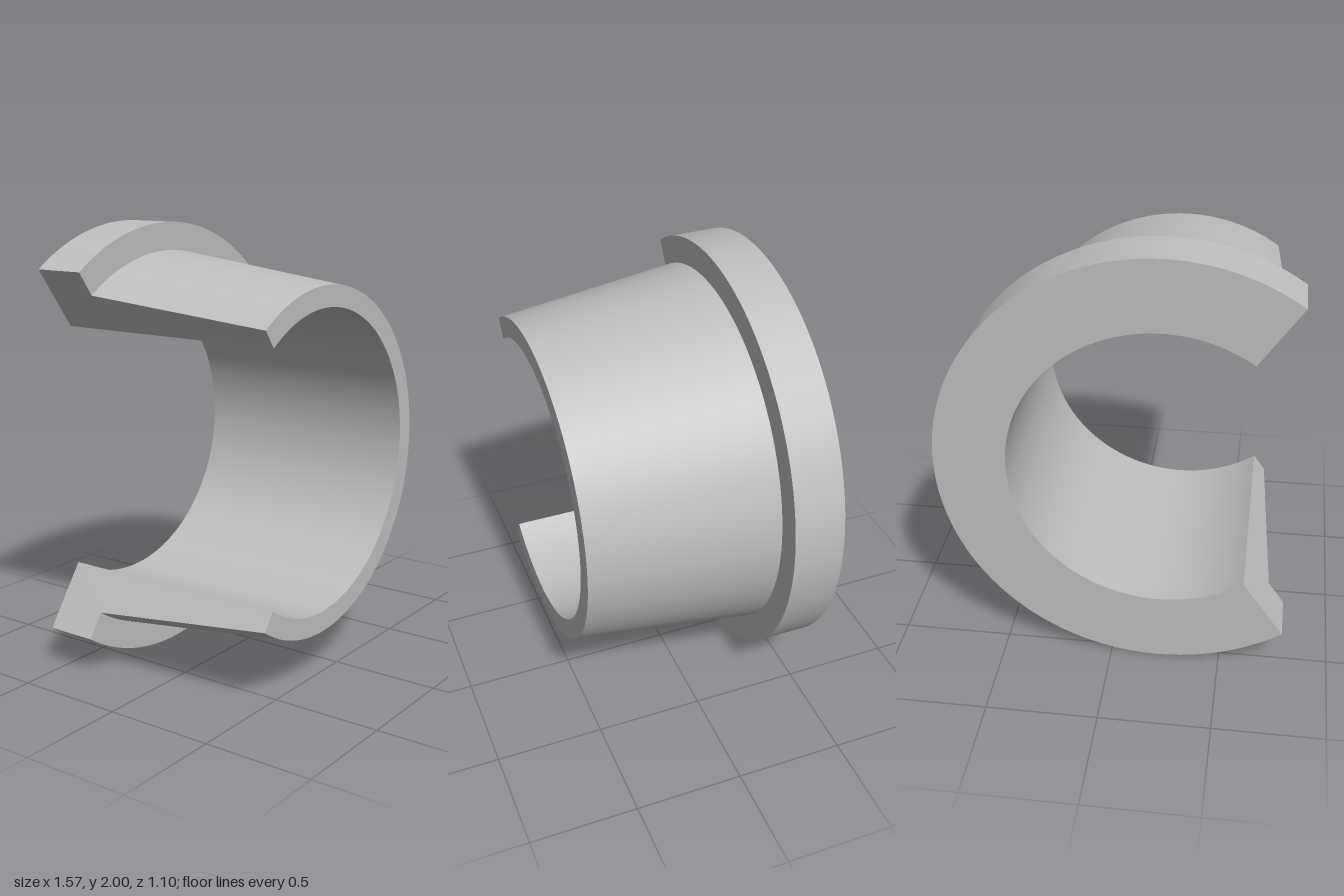
import * as THREE from 'three';
import { toCreasedNormals } from 'three/addons/utils/BufferGeometryUtils.js';

const CENTRE_X = -0.213;
const START = THREE.MathUtils.degToRad(-35);
const SWEEP = THREE.MathUtils.degToRad(250);

// Cross-section as (radius, distance along axis), counter-clockwise
const PROFILE = [
  [0.675, -0.548], [1, -0.548], [1, -0.312],
  [0.873, -0.312], [0.77, 0.548], [0.675, 0.548],
].map(([r, a]) => new THREE.Vector2(r, a));

// Flat end of the split, placed at one angle of the sweep
function endFace(angle, flip) {
  const geo = new THREE.ShapeGeometry(new THREE.Shape(PROFILE));
  if (flip) {
    geo.setIndex([...geo.index.array].reverse());
    geo.computeVertexNormals();
  }
  return geo.rotateY(angle - Math.PI / 2);
}

export function createModel() {
  const group = new THREE.Group();
  group.name = 'splitFlangedBushing';
  const grey = new THREE.MeshStandardMaterial({ color: 0xbebebe });
  grey.name = 'light grey';

  const add = (name, geo) => {
    geo.rotateX(Math.PI / 2); // turn the axis to face the front
    geo.translate(CENTRE_X, 1, 0);
    const mesh = new THREE.Mesh(geo, grey);
    mesh.name = name;
    group.add(mesh);
  };

  // Flange, tapered sleeve and straight bore in one sweep
  const ring = new THREE.LatheGeometry([...PROFILE, PROFILE[0].clone()], 120, START, SWEEP);
  add('flangedSleeve', toCreasedNormals(ring, 0.6));

  // Faces closing the two ends of the split
  add('lowerEndFace', endFace(START, false));
  add('upperEndFace', endFace(START + SWEEP, true));
  return group;
}
